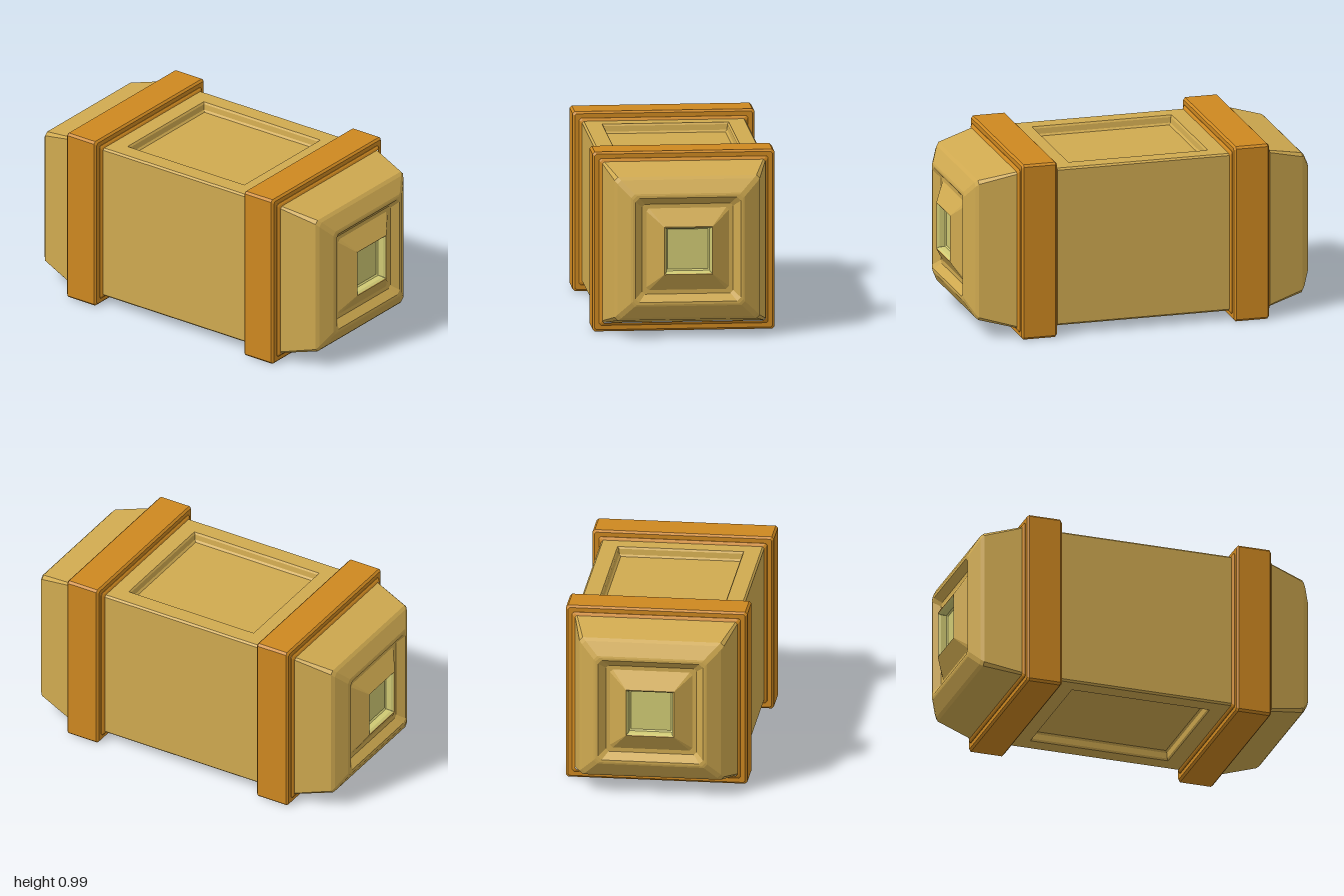
import * as THREE from 'three';

// Chamfered rectangle, counter-clockwise: half sizes hu, hv and corner cut c
const octagon = (hu, hv, c) => [
  [hu, -hv + c], [hu, hv - c], [hu - c, hv], [-hu + c, hv],
  [-hu, hv - c], [-hu, -hv + c], [-hu + c, -hv], [hu - c, -hv],
];

// Joins stations [position, hu, hv, chamfer] along an axis into flat faces.
// skip lists ring sides left open; cap closes the last ring.
function loft(axis, stations, { cap = false, skip = [] } = {}) {
  const place = axis === 'x' ? (u, v, p) => [p, u, v] : (u, v, p) => [v, p, u];
  const rings = stations.map(([p, hu, hv, c]) => octagon(hu, hv, c).map(([u, v]) => place(u, v, p)));
  const out = [];
  for (let i = 0; i < rings.length - 1; i++) {
    const a = rings[i], b = rings[i + 1];
    for (let k = 0; k < 8; k++) {
      if (skip.includes(k)) continue;
      const n = (k + 1) % 8;
      out.push(...a[k], ...a[n], ...b[n], ...a[k], ...b[n], ...b[k]);
    }
  }
  if (cap) {
    const r = rings[rings.length - 1];
    for (let k = 1; k < 7; k++) out.push(...r[0], ...r[k], ...r[k + 1]);
  }
  const g = new THREE.BufferGeometry();
  g.setAttribute('position', new THREE.Float32BufferAttribute(out, 3));
  g.computeVertexNormals();
  return g;
}

const square = (list) => list.map(([p, h, c]) => [p, h, h, c]);

export function createModel() {
  const make = (name, color) => {
    const m = new THREE.MeshStandardMaterial({ color });
    m.name = name;
    return m;
  };
  const tan = make('tanShell', 0xd0aa50);
  const orange = make('orangeStrap', 0xce8820);
  const pale = make('paleWindow', 0xd0ca74);

  const model = new THREE.Group();
  model.name = 'crate';
  const body = new THREE.Group();
  body.name = 'crateBody';
  body.position.y = 0.495;
  model.add(body);
  const add = (name, geometry, material, parent = body) => {
    const mesh = new THREE.Mesh(geometry, material);
    mesh.name = name;
    parent.add(mesh);
    return mesh;
  };

  // Middle shell, open at top and bottom for the recessed panels
  add('middleShell', loft('x', square([[-0.5, 0.445, 0.01], [0.5, 0.445, 0.01]]), { skip: [0, 4] }), tan);

  // Recessed panels on top and bottom
  const panel = loft('y', [
    [0.445, 0.435, 0.5, 0.0005],
    [0.445, 0.345, 0.395, 0.0005],
    [0.435, 0.338, 0.388, 0.0005],
    [0.405, 0.334, 0.384, 0.0005],
    [0.395, 0.325, 0.375, 0.0005],
  ], { cap: true });
  add('topPanel', panel, tan);
  add('bottomPanel', panel, tan).rotation.x = Math.PI;

  // Strap with a stepped shoulder on each side
  const strap = loft('x', square([
    [0.485, 0.444, 0.01], [0.49, 0.453, 0.01], [0.497, 0.46, 0.01], [0.5, 0.46, 0.01],
    [0.5, 0.484, 0.01], [0.511, 0.495, 0.012], [0.689, 0.495, 0.012], [0.7, 0.484, 0.01],
    [0.7, 0.46, 0.01], [0.703, 0.46, 0.01], [0.71, 0.453, 0.01], [0.715, 0.444, 0.01],
  ]));

  // Tapered end: chamfer, flat rim, sunken moat, raised pyramid with a square opening
  const endCap = loft('x', square([
    [0.5, 0.445, 0.01], [0.7, 0.445, 0.01], [0.915, 0.395, 0.018], [0.93, 0.38, 0.02],
    [0.972, 0.31, 0.02], [0.975, 0.3, 0.02], [0.975, 0.287, 0.02], [0.94, 0.248, 0.015],
    [0.94, 0.225, 0.015], [1.0, 0.131, 0.001], [0.997, 0.127, 0.001],
  ]));

  // Window lining and pane inside the opening
  const pane = loft('x', square([
    [0.997, 0.127, 0.001], [0.985, 0.12, 0.001], [0.955, 0.118, 0.001], [0.948, 0.11, 0.001],
  ]), { cap: true });

  for (const [side, turn] of [['left', 0], ['right', Math.PI]]) {
    const end = new THREE.Group();
    end.name = side + 'End';
    end.rotation.y = turn;
    body.add(end);
    add(side + 'Strap', strap, orange, end);
    add(side + 'EndCap', endCap, tan, end);
    add(side + 'Window', pane, pale, end);
  }
  return model;
}
